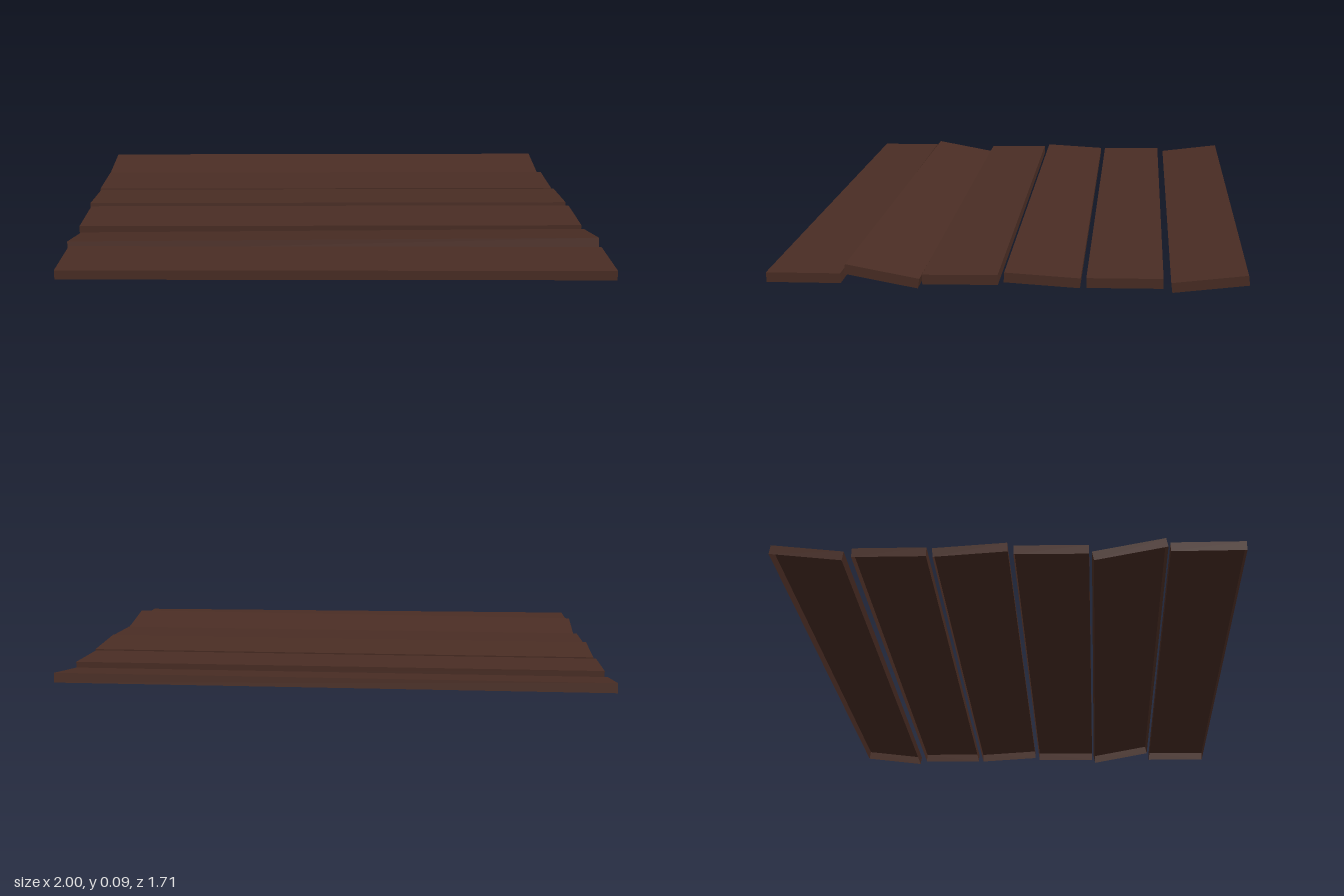
import * as THREE from 'three';

export function createModel() {
  const model = new THREE.Group();
  model.name = 'plankPlatform';

  const wood = new THREE.MeshStandardMaterial({ color: 0x4a2d24, side: THREE.DoubleSide });
  wood.name = 'dark brown wood';

  // Plank shell: top, ends and long sides, with an open underside
  const plank = new THREE.BoxGeometry(1.993, 0.035, 0.26);
  const index = Array.from(plank.index.array);
  index.splice(18, 6);
  plank.setIndex(index);
  plank.clearGroups();

  // Centre z, centre y, tilt (positive lowers the front edge), roll (positive raises +x)
  const planks = [
    [0.69, 0.048, 0.015, -0.004],
    [0.42, 0.05, -0.175, 0.005],
    [0.15, 0.048, 0.025, 0],
    [-0.13, 0.052, -0.05, 0],
    [-0.41, 0.047, 0.02, 0],
    [-0.697, 0.05, 0.132, 0],
  ];

  planks.forEach(([z, y, tilt, roll], i) => {
    const mesh = new THREE.Mesh(plank, wood);
    mesh.name = `plank${i + 1}`;
    mesh.position.set(0, y, z);
    mesh.rotation.set(tilt, -0.029, roll, 'YXZ'); // all skewed slightly the same way
    model.add(mesh);
  });

  return model;
}
